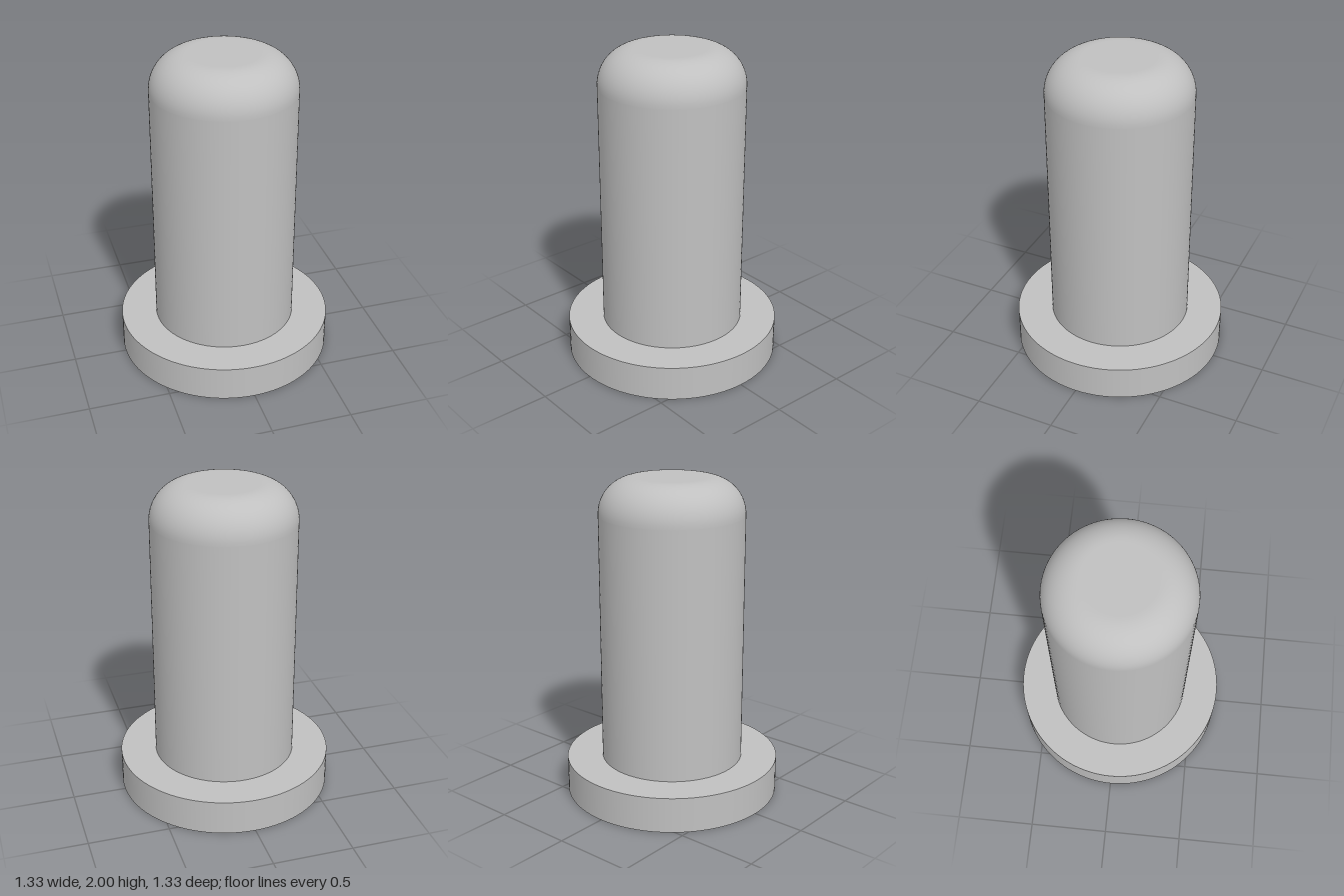
import * as THREE from 'three';

const SIDES = 96;
const BASE_R = 0.667, BASE_H = 0.222;
const PIN_R = 0.444, FILLET = 0.222, TOP = 2;

export function createModel() {
  const group = new THREE.Group();
  const grey = new THREE.MeshStandardMaterial({ color: 0xc0c0c0 });
  grey.name = 'grey';

  // Flat round flange at the foot
  const flange = new THREE.Mesh(new THREE.CylinderGeometry(BASE_R, BASE_R, BASE_H, SIDES), grey);
  flange.name = 'flange';
  flange.position.y = BASE_H / 2;
  group.add(flange);

  // Shaft with a rounded shoulder; the extra points keep the wall and top evenly shaded
  const profile = [
    new THREE.Vector2(PIN_R, BASE_H),
    new THREE.Vector2(PIN_R, TOP - FILLET - 0.005),
  ];
  const steps = 20;
  for (let i = 0; i <= steps; i++) {
    const a = (i / steps) * Math.PI / 2;
    profile.push(new THREE.Vector2(
      PIN_R - FILLET + FILLET * Math.cos(a),
      TOP - FILLET + FILLET * Math.sin(a),
    ));
  }
  profile.push(new THREE.Vector2(PIN_R - FILLET - 0.005, TOP), new THREE.Vector2(0, TOP));
  const shaft = new THREE.Mesh(new THREE.LatheGeometry(profile, SIDES), grey);
  shaft.name = 'roundedShaft';
  group.add(shaft);

  return group;
}
